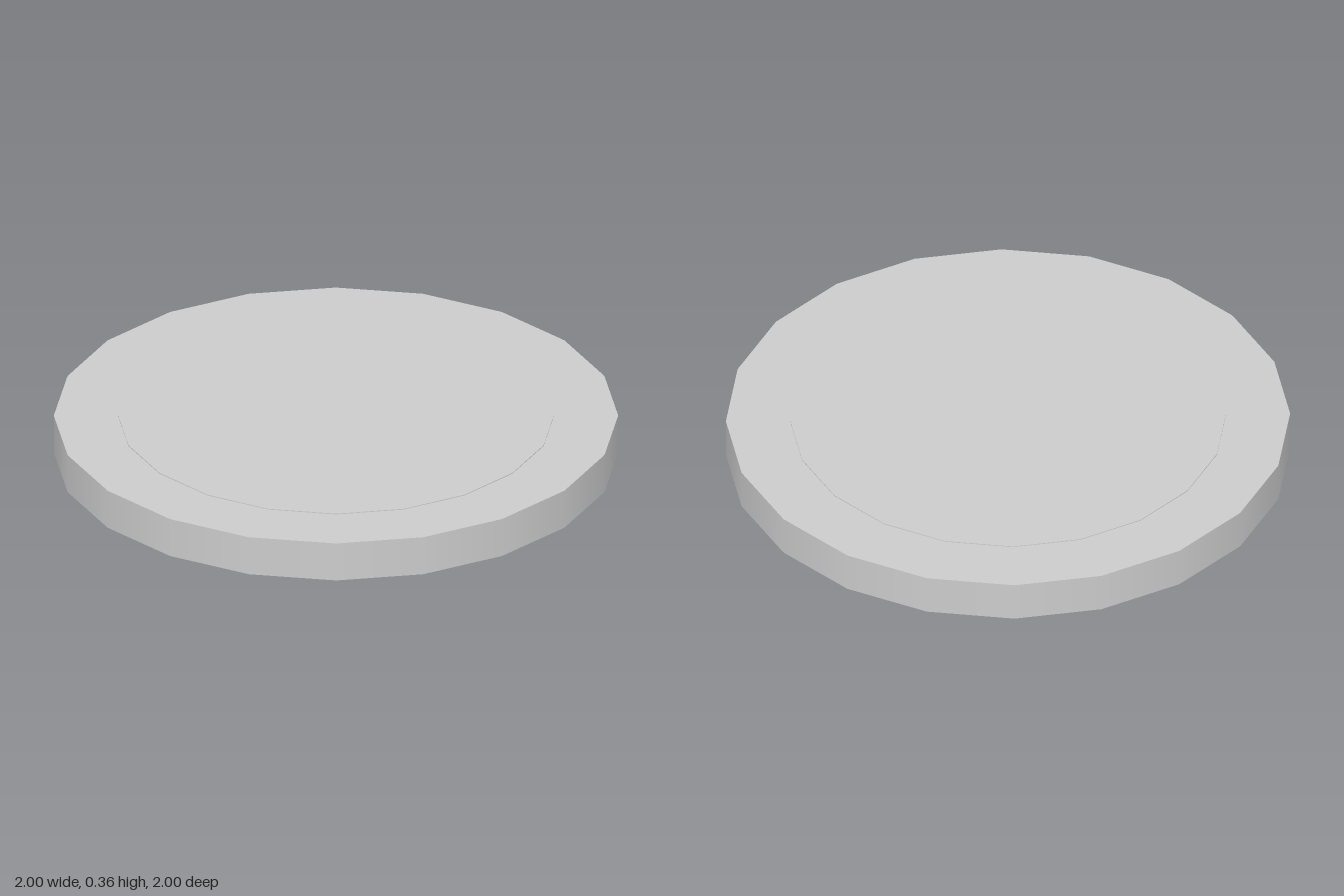
import * as THREE from 'three';

const SIDES = 20;

export function createModel() {
  const group = new THREE.Group();
  const material = new THREE.MeshStandardMaterial({ color: 0xcccccc });

  // Upright disc between two heights
  function disc(name, radius, bottom, top) {
    const geometry = new THREE.CylinderGeometry(radius, radius, top - bottom, SIDES);
    const mesh = new THREE.Mesh(geometry, material);
    mesh.name = name;
    mesh.position.y = (bottom + top) / 2;
    group.add(mesh);
  }

  // Wide top plate
  disc('topPlate', 1, 0.207, 0.354);
  // Middle step, standing a hair proud of the plate
  disc('middleStep', 0.773, 0.102, 0.357);
  // Small foot, ending inside the middle step
  disc('foot', 0.341, 0, 0.356);

  return group;
}
